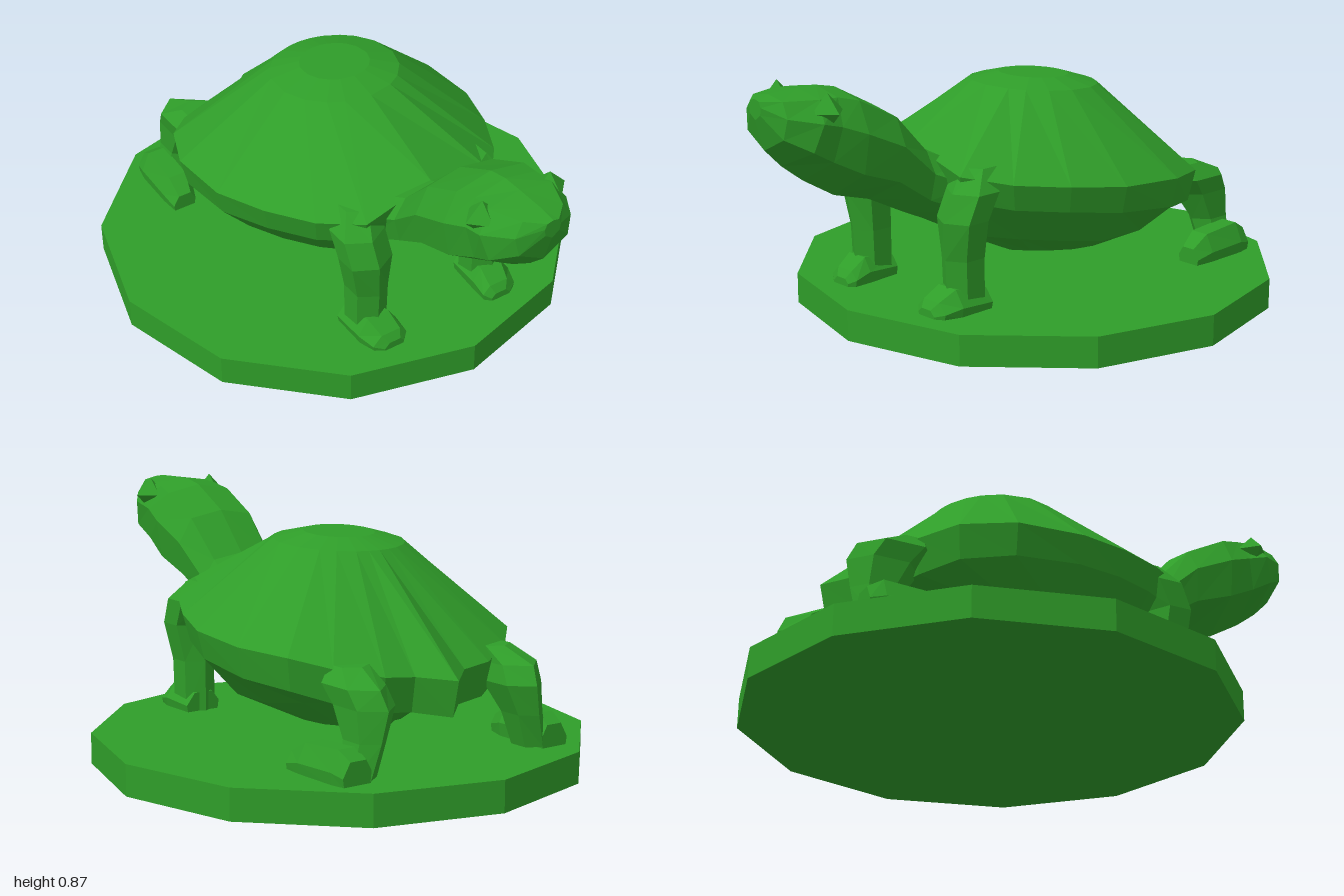
import * as THREE from 'three';

const green = new THREE.MeshStandardMaterial({ color: 0x2f9d29, flatShading: true });

// Joins rings of points into a closed, capped, faceted solid.
function loft(name, rings) {
  const n = rings[0].length;
  const pos = rings.flat(2);
  const idx = [];
  for (let r = 0; r < rings.length - 1; r++) {
    for (let i = 0; i < n; i++) {
      const a = r * n + i, b = r * n + (i + 1) % n;
      idx.push(a, b, b + n, a, b + n, a + n);
    }
  }
  // End caps as fans around each ring's middle
  for (const r of [0, rings.length - 1]) {
    const mid = [0, 1, 2].map(k => rings[r].reduce((s, p) => s + p[k], 0) / n);
    const c = pos.length / 3;
    pos.push(...mid);
    for (let i = 0; i < n; i++) {
      const a = r * n + i, b = r * n + (i + 1) % n;
      if (r === 0) idx.push(c, b, a); else idx.push(c, a, b);
    }
  }
  // Turn the faces outward whichever way the rings run
  const at = i => new THREE.Vector3().fromArray(pos, i * 3);
  let volume = 0;
  for (let i = 0; i < idx.length; i += 3) {
    volume += at(idx[i]).dot(at(idx[i + 1]).cross(at(idx[i + 2])));
  }
  if (volume < 0) idx.reverse();
  const g = new THREE.BufferGeometry();
  g.setAttribute('position', new THREE.Float32BufferAttribute(pos, 3));
  g.setIndex(idx);
  const flat = g.toNonIndexed();
  flat.computeVertexNormals();
  const mesh = new THREE.Mesh(flat, green);
  mesh.name = name;
  return mesh;
}

// Completes a half outline (first and last points on x = 0) by mirroring.
const mirrorRing = half => [...half, ...half.slice(1, -1).reverse().map(([x, y, z]) => [-x, y, z])];

// Horizontal six-sided leg section: x, y, z, radius in x, radius in z
const legRing = s => ([x, y, z, rx, rz]) => Array.from({ length: 6 }, (_, i) => {
  const a = (i + 0.5) * Math.PI / 3;
  return [s * (x + rx * Math.cos(a)), y, z + rz * Math.sin(a) * 1.1];
});

// Foot section: centre x, z, half width, top y
const footRing = s => ([x, z, w, top]) => [
  [-w, 0.1], [w, 0.1], [w * 1.1, 0.1 + (top - 0.1) * 0.4], [w * 0.55, top], [-w * 0.65, top], [-w * 1.1, 0.1 + (top - 0.1) * 0.5],
].map(([dx, y]) => [s * (x + dx), y, z]);

export function createModel() {
  const model = new THREE.Group();

  // Base slab
  const base = new THREE.Mesh(new THREE.CylinderGeometry(0.833, 0.833, 0.105, 12), green);
  base.name = 'base';
  base.position.set(0, 0.0525, -0.167);
  model.add(base);

  // Shell and belly, lofted from the crown down through the rim
  const rim = mirrorRing([
    [0, 0.62, 0.4], [0.25, 0.55, 0.4], [0.36, 0.52, 0.27], [0.45, 0.5, 0.1], [0.515, 0.48, -0.09],
    [0.52, 0.465, -0.33], [0.45, 0.45, -0.5], [0.35, 0.42, -0.6], [0.21, 0.39, -0.68], [0.1, 0.38, -0.69], [0, 0.37, -0.78],
  ]);
  const crown = (r, y) => rim.map(([x, , z]) => {
    const a = Math.atan2(x, z + 0.16);
    return [r * Math.sin(a), y + 0.06 * r * Math.cos(a), -0.16 + r * Math.cos(a)];
  });
  const shrink = (k, height) => rim.map(([x, y, z]) => {
    const zz = -0.2 + (z + 0.2) * k;
    return [x * k, height(y, zz), zz];
  });
  model.add(loft('shell', [
    crown(0.12, 0.772),
    crown(0.22, 0.745),
    rim,
    shrink(0.955, (y, z) => Math.min(y, 0.55) - 0.09 - 0.04 * Math.max(0, -z)),
    shrink(0.74, (y, z) => 0.25 + 0.13 * Math.abs(z + 0.2)),
    shrink(0.4, (y, z) => 0.195 + 0.08 * z),
  ]));

  // Neck and head: [top z, top y, bottom z, bottom y, half width]
  const profile = [[0, 1], [0.72, 0.86], [1, 0.3], [0.88, -0.45], [0, -1]];
  const headRing = ([tz, ty, bz, by, w]) => mirrorRing(profile.map(([px, py]) => {
    const t = (1 - py) / 2;
    return [px * w, ty + (by - ty) * t, tz + (bz - tz) * t];
  }));
  model.add(loft('neckAndHead', [
    [0.3, 0.58, 0.3, 0.33, 0.2],
    [0.42, 0.63, 0.43, 0.39, 0.16],
    [0.55, 0.77, 0.57, 0.46, 0.175],
    [0.7, 0.85, 0.71, 0.5, 0.178],
    [0.77, 0.865, 0.83, 0.57, 0.16],
    [0.84, 0.865, 0.91, 0.63, 0.165],
    [0.95, 0.863, 0.97, 0.69, 0.105],
    [1.0, 0.855, 1.0, 0.79, 0.03],
  ].map(headRing)));

  for (const [side, s] of [['left', 1], ['right', -1]]) {
    // Brow above each eye
    const brow = new THREE.Mesh(new THREE.OctahedronGeometry(0.06), green);
    brow.name = side + 'Brow';
    brow.position.set(s * 0.128, 0.81, 0.825);
    model.add(brow);

    // Front leg and foot
    model.add(loft(side + 'FrontLeg', [
      [0.22, 0.57, 0.29, 0.07, 0.07],
      [0.25, 0.5, 0.345, 0.09, 0.08],
      [0.245, 0.41, 0.385, 0.09, 0.075],
      [0.235, 0.28, 0.375, 0.07, 0.07],
      [0.235, 0.1, 0.37, 0.068, 0.065],
    ].map(legRing(s))));
    model.add(loft(side + 'FrontFoot', [
      [0.24, 0.31, 0.06, 0.17], [0.235, 0.44, 0.068, 0.19], [0.225, 0.5, 0.06, 0.155], [0.22, 0.52, 0.035, 0.13],
    ].map(footRing(s))));

    // Back leg and splayed foot
    model.add(loft(side + 'BackLeg', [
      [0.29, 0.43, -0.6, 0.06, 0.06],
      [0.31, 0.38, -0.65, 0.085, 0.12],
      [0.3, 0.32, -0.69, 0.085, 0.11],
      [0.32, 0.22, -0.72, 0.06, 0.075],
      [0.35, 0.11, -0.725, 0.055, 0.06],
    ].map(legRing(s))));
    model.add(loft(side + 'BackFoot', [
      [0.4, -0.79, 0.05, 0.18], [0.405, -0.74, 0.055, 0.21], [0.41, -0.58, 0.055, 0.2], [0.42, -0.51, 0.04, 0.16],
    ].map(footRing(s))));
  }

  return model;
}
